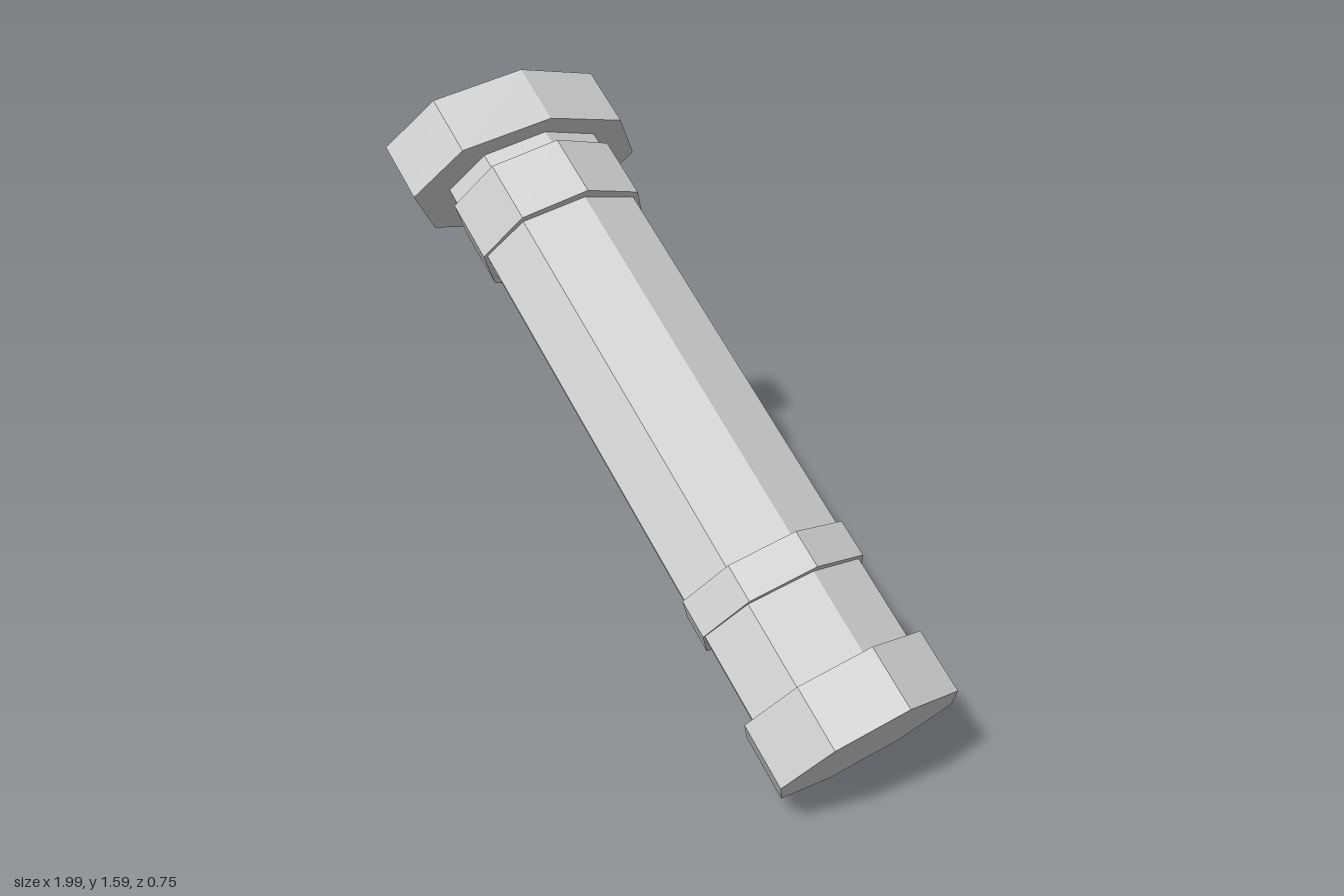
import * as THREE from 'three';

const LENGTH = 2.104;
const TILT = THREE.MathUtils.degToRad(55);

export function createModel() {
  const group = new THREE.Group();
  const material = new THREE.MeshStandardMaterial({ color: 0xcccccc, flatShading: true });

  // Octagonal section, flattened: rx across the tilt plane, rz along z.
  // from/to are distances along the axis, measured from the upper end.
  const section = (name, from, to, rx, rz) => {
    const geometry = new THREE.CylinderGeometry(1, 1, to - from, 8);
    geometry.scale(rx, 1, rz);
    geometry.translate(0, LENGTH / 2 - (from + to) / 2, 0);
    const mesh = new THREE.Mesh(geometry, material);
    mesh.name = name;
    column.add(mesh);
  };

  // The whole column leans towards -x
  const column = new THREE.Group();
  column.name = 'column';
  column.rotation.z = TILT;
  column.position.y = 0.797;
  group.add(column);

  section('upperCap', 0, 0.189, 0.242, 0.376);
  section('shaft', 0.1, LENGTH - 0.1, 0.185, 0.262);
  section('upperCollar', 0.245, 0.434, 0.213, 0.274);
  section('lowerCollar', 1.575, 1.682, 0.21, 0.268);
  section('lowerCap', 1.927, LENGTH, 0.231, 0.29);

  return group;
}
